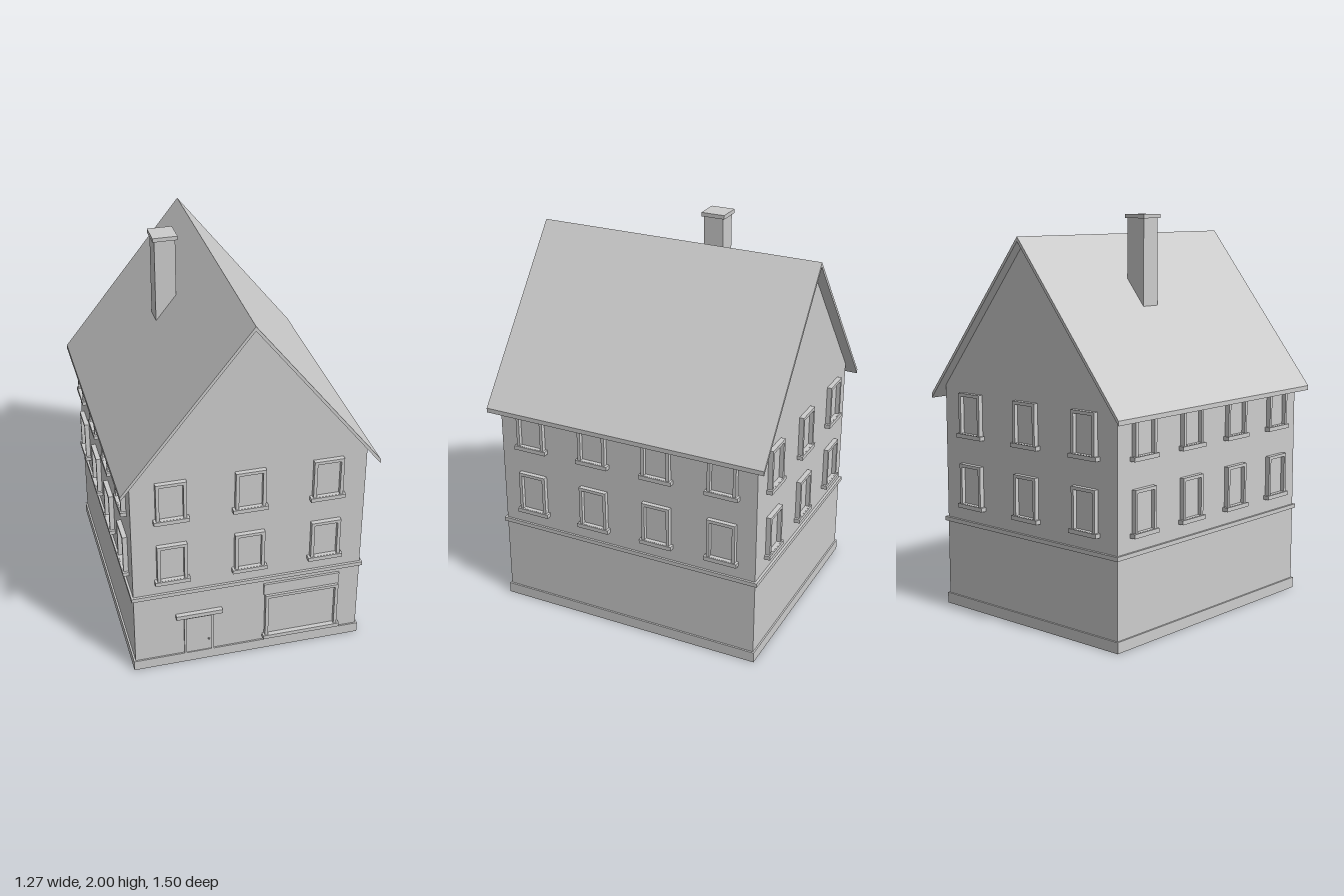
import * as THREE from 'three';

const plaster = new THREE.MeshStandardMaterial({ color: 0xcccccc });
plaster.name = 'plain grey';

const W = 0.583, D = 0.7; // half width and half depth of the walls

function add(parent, name, geometry) {
  const mesh = new THREE.Mesh(geometry, plaster);
  mesh.name = name;
  parent.add(mesh);
  return mesh;
}

// Box given by its lower and upper limits on each axis
function box(parent, name, x0, x1, y0, y1, z0, z1) {
  const mesh = add(parent, name, new THREE.BoxGeometry(x1 - x0, y1 - y0, z1 - z0));
  mesh.position.set((x0 + x1) / 2, (y0 + y1) / 2, (z0 + z1) / 2);
  return mesh;
}

// Closed outline extruded along z, centred on z = 0
function prism(parent, name, points, depth) {
  const shape = new THREE.Shape(points.map(([x, y]) => new THREE.Vector2(x, y)));
  const geometry = new THREE.ExtrudeGeometry(shape, { depth, bevelEnabled: false });
  return add(parent, name, geometry.translate(0, 0, -depth / 2));
}

// Rectangular frame with an opening, its back on z = 0
function frame(parent, name, x0, x1, y0, y1, border, depth) {
  const rect = (path, a, b, c, d) => path.moveTo(a, c).lineTo(b, c).lineTo(b, d).lineTo(a, d).closePath();
  const shape = rect(new THREE.Shape(), x0, x1, y0, y1);
  shape.holes.push(rect(new THREE.Path(), x0 + border, x1 - border, y0 + border, y1 - border));
  return add(parent, name, new THREE.ExtrudeGeometry(shape, { depth, bevelEnabled: false }));
}

// Window with frame, pane and sill, facing +z; y = 0 is the underside of the sill
function makeWindow() {
  const g = new THREE.Group();
  g.name = 'window';
  frame(g, 'windowFrame', -0.075, 0.075, 0.006, 0.226, 0.016, 0.024);
  box(g, 'windowPane', -0.06, 0.06, 0.02, 0.212, 0, 0.003);
  box(g, 'windowSill', -0.0875, 0.0875, 0, 0.021, 0, 0.03);
  return g;
}

export function createModel() {
  const house = new THREE.Group();
  house.name = 'house';

  // Walls with gables, plinth and storey band
  const slope = 0.8 / 0.635, under = 1.877;
  const eave = under - slope * W;
  prism(house, 'walls', [[-W, 0.02], [W, 0.02], [W, eave], [0, under], [-W, eave]], 2 * D);
  box(house, 'plinth', -0.592, 0.592, 0, 0.055, -0.708, 0.708);
  box(house, 'storeyBand', -0.594, 0.594, 0.44, 0.461, -0.713, 0.713);

  // Roof with overhanging eaves
  prism(house, 'roof', [[-0.635, 1.077], [0, under], [0.635, 1.077],
    [0.635, 1.1], [0, 1.9], [-0.635, 1.1]], 1.5);

  // Chimney
  box(house, 'chimney', -0.275, -0.171, 1.4, 1.98, -0.164, -0.06);
  box(house, 'chimneyCap', -0.285, -0.161, 1.98, 2, -0.174, -0.05);

  // Two rows of windows on all four sides
  const ends = [-0.388, 0, 0.388], sides = [-0.525, -0.175, 0.175, 0.525];
  for (let side = 0; side < 4; side++) {
    const facade = new THREE.Group();
    facade.name = ['frontWindows', 'leftWindows', 'backWindows', 'rightWindows'][side];
    facade.rotation.y = side * Math.PI / 2;
    for (const y of [0.53, 0.89]) {
      for (const x of side % 2 ? sides : ends) {
        const w = makeWindow();
        w.position.set(x, y, side % 2 ? W : D);
        facade.add(w);
      }
    }
    house.add(facade);
  }

  // Door with jambs, lintel and handle
  const door = new THREE.Group();
  door.name = 'door';
  door.position.set(-0.255, 0, D);
  box(door, 'doorLeaf', -0.064, 0.064, 0.055, 0.276, 0, 0.003);
  for (const s of [-1, 1]) {
    box(door, 'doorJamb', s * 0.07 - 0.006, s * 0.07 + 0.006, 0.055, 0.288, 0, 0.01);
  }
  box(door, 'doorHead', -0.064, 0.064, 0.276, 0.288, 0, 0.01);
  box(door, 'doorLintel', -0.118, 0.118, 0.29, 0.312, 0, 0.024);
  box(door, 'doorHandle', 0.048, 0.056, 0.118, 0.126, 0, 0.01);
  house.add(door);

  // Shop window with a blank board above
  const shop = new THREE.Group();
  shop.name = 'shopWindow';
  shop.position.z = D;
  frame(shop, 'shopFrame', 0.087, 0.47, 0.078, 0.348, 0.016, 0.024);
  box(shop, 'shopPane', 0.1, 0.457, 0.092, 0.335, 0, 0.003);
  box(shop, 'shopSill', 0.077, 0.483, 0.073, 0.094, 0, 0.028);
  box(shop, 'shopBoard', 0.08, 0.475, 0.349, 0.414, 0, 0.012);
  house.add(shop);

  return house;
}
